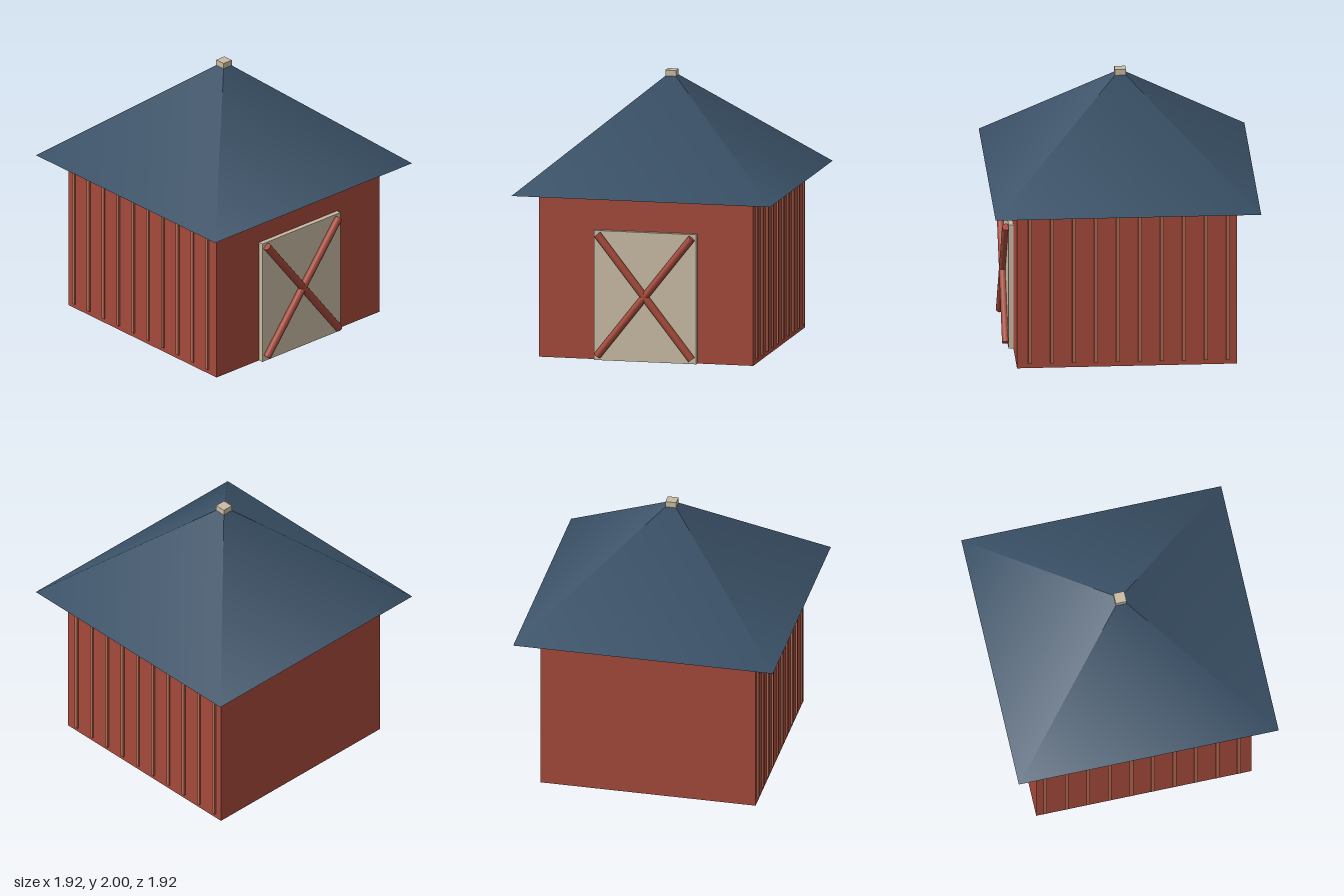
import * as THREE from 'three';

const material = (name, color) => {
  const m = new THREE.MeshStandardMaterial({ color });
  m.name = name;
  return m;
};

export function createModel() {
  const barn = new THREE.Group();
  barn.name = 'barn';
  const red = material('barn red', 0xa4493a);
  const clay = material('light clay', 0xb2664f);
  const cream = material('cream', 0xc9bba3);
  const slate = material('slate blue', 0x3a5167);

  const add = (name, geometry, mat, x, y, z) => {
    const mesh = new THREE.Mesh(geometry, mat);
    mesh.name = name;
    mesh.position.set(x, y, z);
    barn.add(mesh);
    return mesh;
  };

  // Square body
  add('walls', new THREE.BoxGeometry(1.59, 1.2, 1.59), red, 0, 0.6, 0);

  // Pyramid roof with softly shaded faces, and the cap on its peak
  const roof = new THREE.ConeGeometry(0.96 * Math.SQRT2, 0.79, 4);
  roof.rotateY(Math.PI / 4);
  add('roof', roof, slate, 0, 1.595, 0);
  add('roofCap', new THREE.BoxGeometry(0.08, 0.045, 0.08), cream, 0, 1.9775, 0);

  // Vertical battens along both side walls
  const batten = new THREE.BoxGeometry(0.026, 1.165, 0.026);
  for (const side of [-1, 1]) {
    for (let i = 0; i < 10; i++) {
      add('batten', batten, clay, side * 0.795, 0.6175, 0.701 - i * 0.159);
    }
  }

  // Door with crossed round braces
  add('door', new THREE.BoxGeometry(0.76, 0.95, 0.04), cream, 0, 0.475, 0.81);
  const brace = new THREE.CylinderGeometry(0.028, 0.028, 1.132, 16);
  for (const side of [-1, 1]) {
    add('doorBrace', brace, red, 0, 0.48, 0.847).rotation.z = side * Math.atan2(0.7, 0.89);
  }

  return barn;
}
